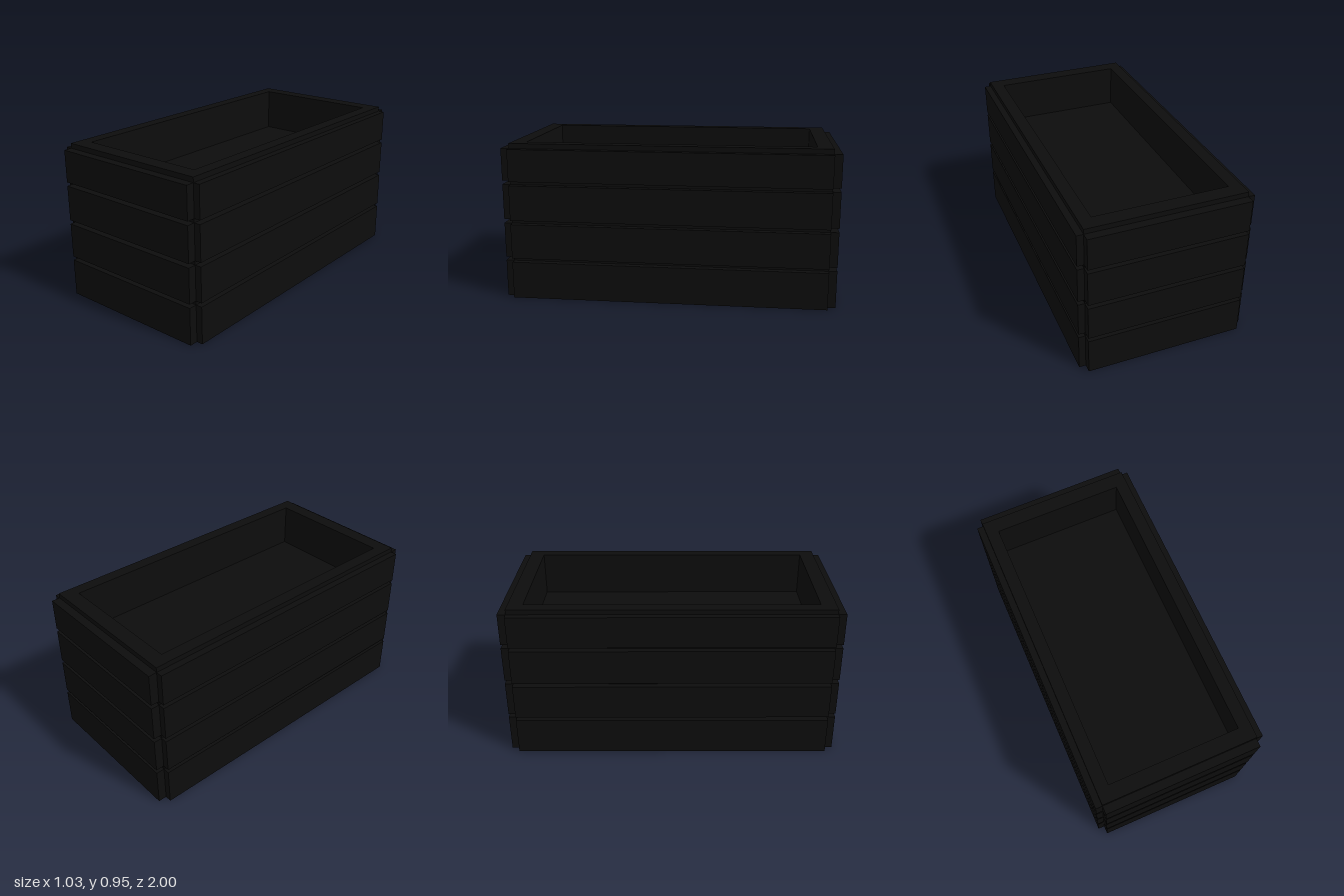
import * as THREE from 'three';

const material = new THREE.MeshStandardMaterial({ color: 0x0d0d0d });

// Inner box: half width, half length, height; opening half sizes; fill level
const HX = 0.475, HZ = 0.95, H = 0.95;
const OX = 0.4, OZ = 0.86, FILL = 0.68;
// Outermost faces of the planks
const OUT_X = 0.515, OUT_Z = 1;
// Bottom and top of each row of planks
const ROWS = [[0, 0.227], [0.25, 0.463], [0.487, 0.702], [0.725, 0.92]];

function box(name, w, h, d, x, y, z) {
  const mesh = new THREE.Mesh(new THREE.BoxGeometry(w, h, d), material);
  mesh.name = name;
  mesh.position.set(x, y, z);
  return mesh;
}

function rectangle(path, a, b) {
  path.moveTo(-a, -b);
  path.lineTo(a, -b);
  path.lineTo(a, b);
  path.lineTo(-a, b);
  path.closePath();
  return path;
}

export function createModel() {
  const model = new THREE.Group();
  model.name = 'plankedPlanter';

  // Thick walls around the opening
  const outline = rectangle(new THREE.Shape(), HX, HZ);
  outline.holes.push(rectangle(new THREE.Path(), OX, OZ));
  const wallGeometry = new THREE.ExtrudeGeometry(outline, { depth: H, bevelEnabled: false });
  wallGeometry.rotateX(-Math.PI / 2);
  const walls = new THREE.Mesh(wallGeometry, material);
  walls.name = 'walls';
  model.add(walls);

  // Raised floor filling the opening
  model.add(box('floor', OX * 2, FILL, OZ * 2, 0, FILL / 2, 0));

  // Rows of planks on all four sides, with gaps between the rows
  const planks = new THREE.Group();
  planks.name = 'planks';
  for (const [bottom, top] of ROWS) {
    const h = top - bottom, y = (top + bottom) / 2;
    for (const s of [-1, 1]) {
      planks.add(box('sidePlank', OUT_X - HX, h, HZ * 2, s * (OUT_X + HX) / 2, y, 0));
      planks.add(box('endPlank', HX * 2, h, OUT_Z - HZ, 0, y, s * (OUT_Z + HZ) / 2));
    }
  }
  model.add(planks);

  return model;
}
